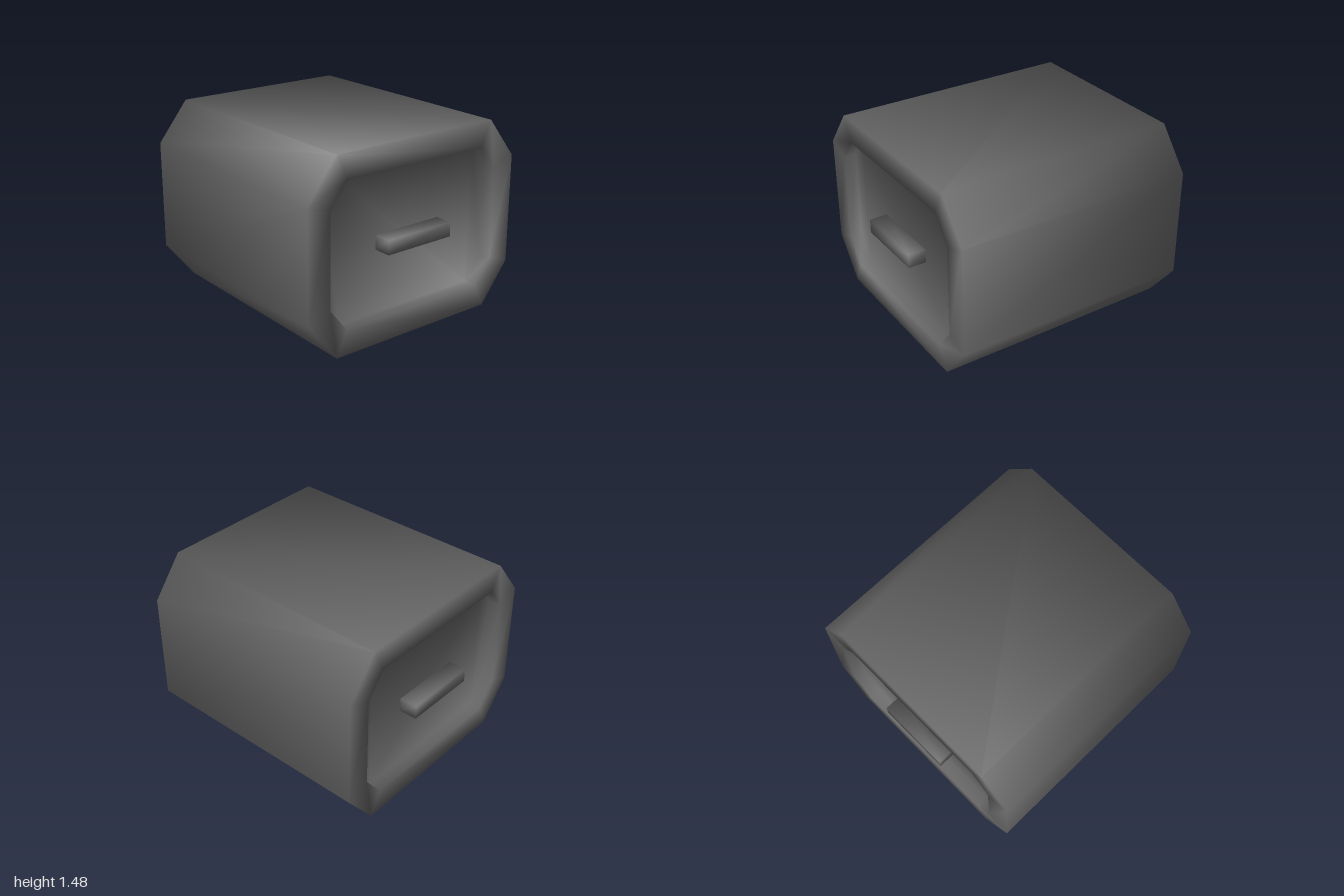
import * as THREE from 'three';
import { toCreasedNormals } from 'three/addons/utils/BufferGeometryUtils.js';

// Eight-cornered loop, counter-clockwise seen from +x, as [z, y] pairs
function octagon(z, zCut, bottom, lowCut, highCut, top) {
  return [
    [-z, lowCut], [-z, highCut], [-zCut, top], [zCut, top],
    [z, highCut], [z, lowCut], [zCut, bottom], [-zCut, bottom],
  ];
}

// Fully smoothed normals across every edge
const smooth = (geometry) => toCreasedNormals(geometry, Math.PI);

// Skin a series of loops along x and close both ends
function loft(sections) {
  const positions = [];
  const index = [];
  for (const [x, loop] of sections) {
    for (const [z, y] of loop) positions.push(x, y, z);
  }
  for (let i = 0; i < sections.length - 1; i++) {
    for (let j = 0; j < 8; j++) {
      const a = i * 8 + j;
      const b = i * 8 + (j + 1) % 8;
      index.push(a, b, a + 8, b, b + 8, a + 8);
    }
  }
  const last = (sections.length - 1) * 8;
  for (const [a, b, c, d] of [[0, 1, 2, 7], [7, 2, 3, 6], [6, 3, 4, 5]]) {
    index.push(last + a, last + c, last + b, last + a, last + d, last + c);
    index.push(a, b, c, a, c, d);
  }
  // The end faces are wound here so that each one looks outward along x
  for (let k = index.length - 36; k < index.length; k += 3) {
    [index[k + 1], index[k + 2]] = [index[k + 2], index[k + 1]];
  }
  const geometry = new THREE.BufferGeometry();
  geometry.setAttribute('position', new THREE.Float32BufferAttribute(positions, 3));
  geometry.setIndex(index);
  return smooth(geometry);
}

export function createModel() {
  const group = new THREE.Group();
  group.name = 'crate';
  const darkGrey = new THREE.MeshStandardMaterial({ color: 0x666666 });
  darkGrey.name = 'darkGrey';

  // Chamfered body with a shallow recess in each end
  const outer = octagon(0.96, 0.715, 0, 0.31, 1.165, 1.475);
  const inner = octagon(0.77, 0.625, 0.19, 0.375, 1.1, 1.285);
  const end = 0.955;
  const floor = 0.86;
  const body = new THREE.Mesh(loft([
    [-floor, inner], [-end, inner], [-end, outer],
    [end, outer], [end, inner], [floor, inner],
  ]), darkGrey);
  body.name = 'body';
  group.add(body);

  // Grip bar standing out of each recess
  for (const side of [-1, 1]) {
    const bar = new THREE.Mesh(smooth(new THREE.BoxGeometry(0.15, 0.11, 0.59)), darkGrey);
    bar.position.set(side * 0.925, 0.735, 0);
    bar.name = side > 0 ? 'leftHandle' : 'rightHandle';
    group.add(bar);
  }
  return group;
}
